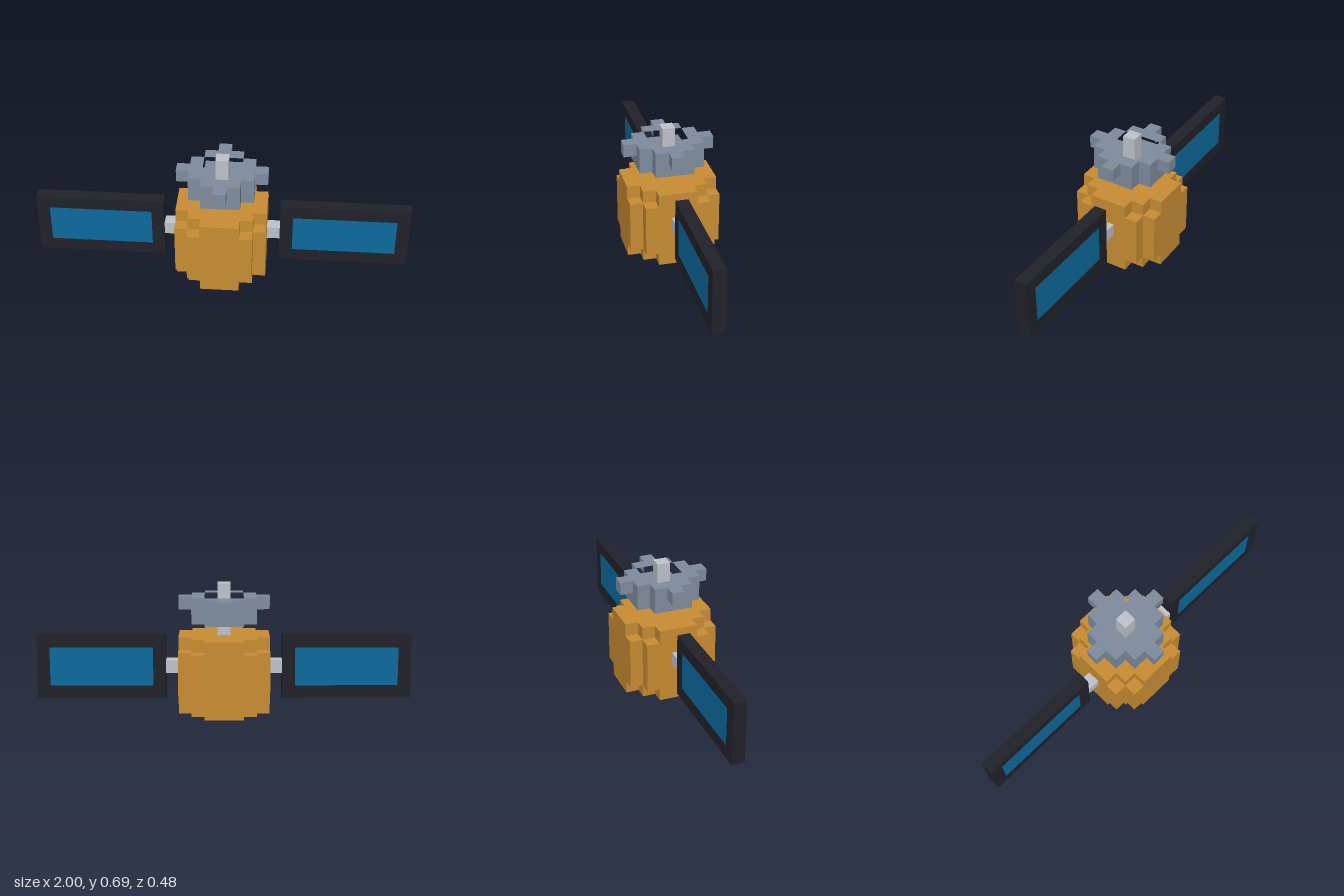
import * as THREE from 'three';

const U = 2 / 29; // one block

const material = (name, color) => {
  const m = new THREE.MeshStandardMaterial({ color });
  m.name = name;
  return m;
};

export function createModel() {
  const gold = material('gold foil', 0xc98d33);
  const slate = material('slate grey', 0x7f8c9f);
  const silver = material('light silver', 0xbfc2ca);
  const dark = material('dark frame', 0x21212b);
  const blue = material('solar blue', 0x0d6a9e);

  const model = new THREE.Group();
  model.name = 'satellite';

  const add = (parent, name, geometry, mat) => {
    const mesh = new THREE.Mesh(geometry.scale(U, U, U), mat);
    mesh.name = name;
    parent.add(mesh);
  };

  // Box given by its limits in blocks
  const box = (parent, name, mat, [x0, x1], [y0, y1], [z0, z1] = [-0.5, 0.5]) => {
    const g = new THREE.BoxGeometry(x1 - x0, y1 - y0, z1 - z0);
    add(parent, name, g.translate((x0 + x1) / 2, (y0 + y1) / 2, (z0 + z1) / 2), mat);
  };

  // Stepped slab: half[k] is the reach in x of the row k blocks from the centre
  const slab = (name, mat, half, y0, y1, hole = 0) => {
    const n = half.length - 1;
    const side = [];
    for (let k = n; k >= -n; k--) {
      const x = half[Math.abs(k)] + 0.5;
      for (const y of [k + 0.5, k - 0.5]) {
        const last = side[side.length - 1];
        if (!last || last.x !== x || last.y !== y) side.push(new THREE.Vector2(x, y));
      }
    }
    const mirrored = side.map((p) => new THREE.Vector2(-p.x, p.y)).reverse();
    const shape = new THREE.Shape([...side, ...mirrored]);
    if (hole) {
      shape.holes.push(new THREE.Path([[-1, -1], [-1, 1], [1, 1], [1, -1]]
        .map(([x, y]) => new THREE.Vector2(x * hole, y * hole))));
    }
    const g = new THREE.ExtrudeGeometry(shape, { depth: y1 - y0, bevelEnabled: false });
    add(model, name, g.rotateX(-Math.PI / 2).translate(0, y0, 0), mat);
  };

  // Body with stepped corners
  slab('bodyBottom', gold, [3, 3, 2, 1], 0, 1);
  slab('bodyMiddle', gold, [3, 3, 3, 2], 1, 5);
  slab('bodyTop', gold, [3, 3, 2, 1], 5, 6);

  // Antenna dish: floor, hollow rim and mast
  slab('dishFloor', slate, [2, 2, 1], 7, 8);
  slab('dishRim', slate, [3, 2, 1, 0], 8, 9, 1.5);
  box(model, 'mastBase', silver, [-0.5, 0.5], [6, 7]);
  box(model, 'mastTip', silver, [-0.5, 0.5], [8, 10]);

  // Solar wings
  for (const [name, s] of [['left', 1], ['right', -1]]) {
    const wing = new THREE.Group();
    wing.name = name + 'Wing';
    model.add(wing);
    const span = (a, b) => (s > 0 ? [a, b] : [-b, -a]);
    box(wing, 'boom', silver, span(3.5, 4.5), [3, 4]);
    box(wing, 'frameInner', dark, span(4.5, 5.5), [1, 6]);
    box(wing, 'frameOuter', dark, span(13.5, 14.5), [1, 6]);
    box(wing, 'frameBottom', dark, span(5.5, 13.5), [1, 2]);
    box(wing, 'frameTop', dark, span(5.5, 13.5), [5, 6]);
    box(wing, 'solarCells', blue, span(5.5, 13.5), [2, 5]);
  }
  return model;
}
